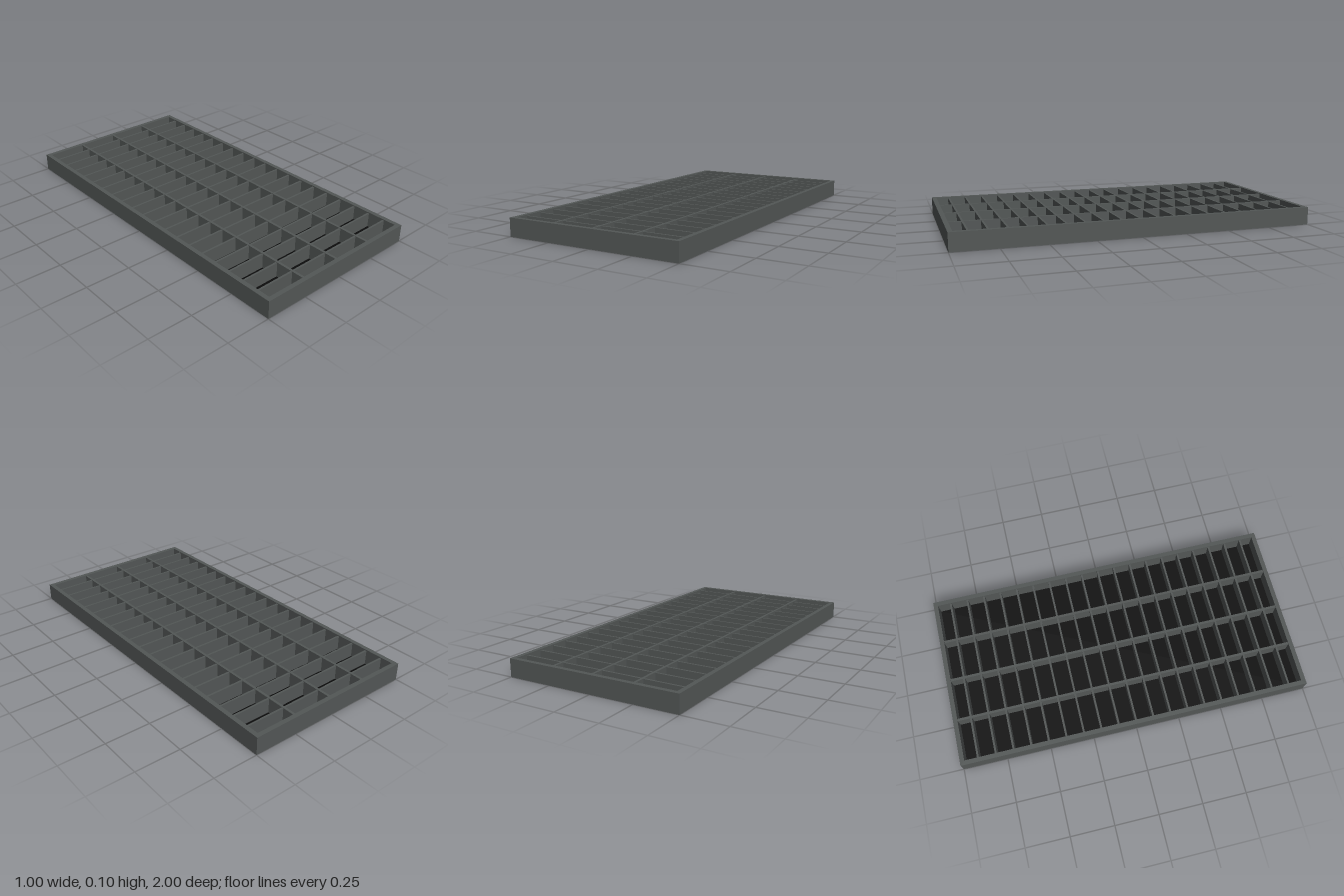
import * as THREE from 'three';

const WIDTH = 1, LENGTH = 2, HEIGHT = 0.1;
const RIM = 0.025;   // frame wall thickness
const BAR = 0.011;   // grate bar thickness

export function createModel() {
  const model = new THREE.Group();
  model.name = 'drainGrate';

  const steel = new THREE.MeshStandardMaterial({ color: 0x535756 });
  steel.name = 'grey steel';
  const black = new THREE.MeshStandardMaterial({ color: 0x0c0c0c });
  black.name = 'black base';

  function addBox(name, material, size, position) {
    const mesh = new THREE.Mesh(new THREE.BoxGeometry(...size), material);
    mesh.name = name;
    mesh.position.set(...position);
    model.add(mesh);
  }

  // Rectangular frame: an outline with a hole, extruded upwards
  const rect = (Type, w, l) => new Type([
    new THREE.Vector2(-w / 2, -l / 2), new THREE.Vector2(w / 2, -l / 2),
    new THREE.Vector2(w / 2, l / 2), new THREE.Vector2(-w / 2, l / 2),
  ]);
  const innerW = WIDTH - 2 * RIM, innerL = LENGTH - 2 * RIM;
  const outline = rect(THREE.Shape, WIDTH, LENGTH);
  outline.holes.push(rect(THREE.Path, innerW, innerL));
  const frameGeometry = new THREE.ExtrudeGeometry(outline, { depth: HEIGHT, bevelEnabled: false });
  frameGeometry.rotateX(-Math.PI / 2);
  const frame = new THREE.Mesh(frameGeometry, steel);
  frame.name = 'frame';
  model.add(frame);

  // Dark floor, set slightly up inside the frame
  addBox('floor', black, [innerW, 0.008, innerL], [0, 0.009, 0]);

  // Bars stand on the floor and end just below the rim
  const bottom = 0.013, crossTop = 0.094, longTop = 0.096;

  // Cross bars
  for (let i = -9; i <= 9; i++) {
    addBox('crossBar', steel, [innerW, crossTop - bottom, BAR],
      [0, (crossTop + bottom) / 2, i * 0.1]);
  }

  // Lengthwise bars
  for (const x of [-0.24, 0, 0.24]) {
    addBox('longBar', steel, [BAR + 0.003, longTop - bottom, innerL],
      [x, (longTop + bottom) / 2, 0]);
  }

  return model;
}
